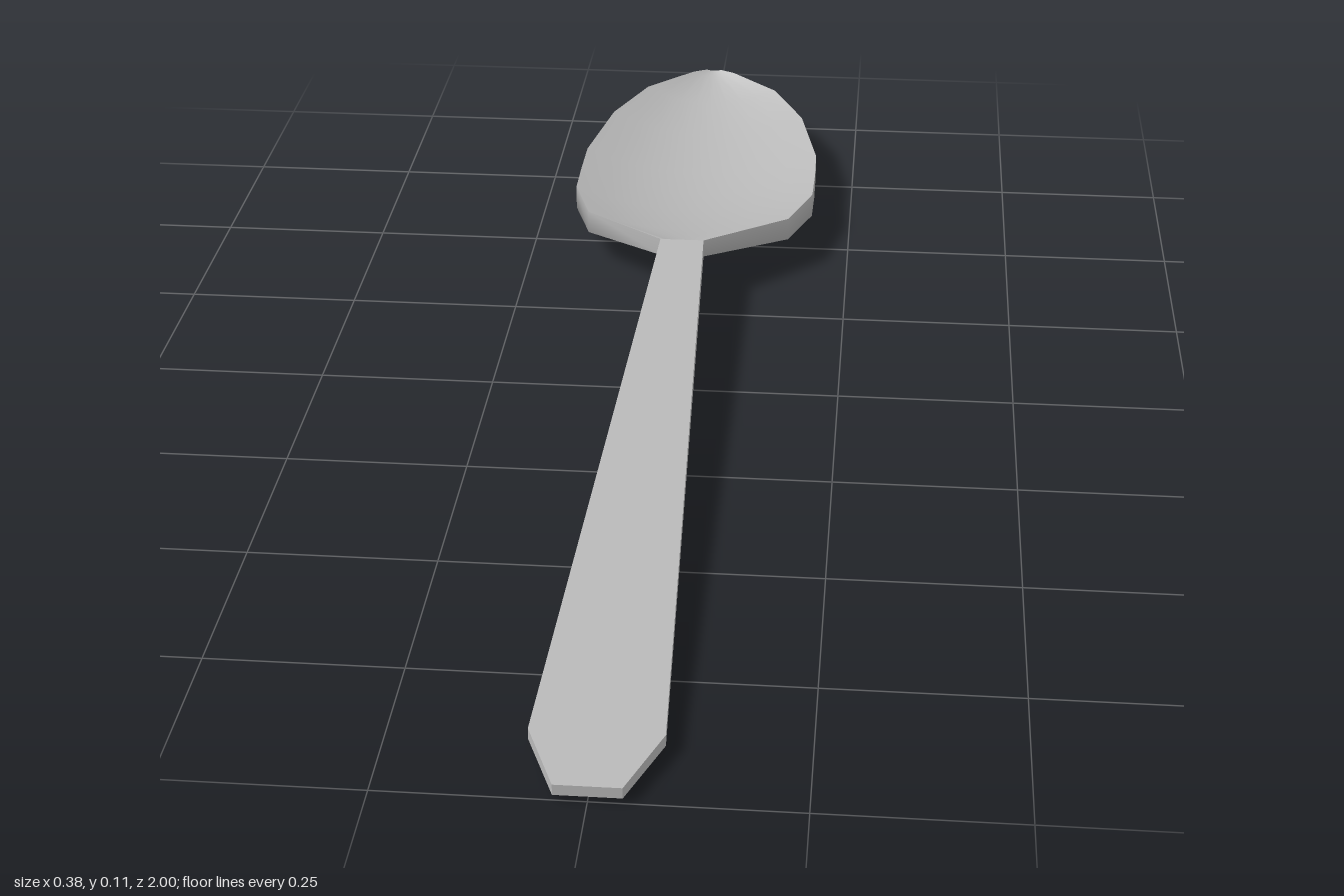
import * as THREE from 'three';

const steel = new THREE.MeshStandardMaterial({ color: 0xb8b8b8 });
steel.name = 'brushed steel';

// Surface through rows of [x, y, z] points; smooth within itself, creased at its border
function sheet(name, rows, flip = false, flat = false) {
  const cols = rows[0].length, index = [];
  for (let i = 0; i < rows.length - 1; i++) {
    for (let j = 0; j < cols - 1; j++) {
      const a = i * cols + j, b = a + 1, c = a + cols, d = c + 1;
      if (flip) index.push(a, c, b, b, c, d);
      else index.push(a, b, c, b, d, c);
    }
  }
  let geo = new THREE.BufferGeometry();
  geo.setAttribute('position', new THREE.Float32BufferAttribute(rows.flat(2), 3));
  geo.setIndex(index);
  if (flat) geo = geo.toNonIndexed();
  geo.computeVertexNormals();
  const mesh = new THREE.Mesh(geo, steel);
  mesh.name = name;
  return mesh;
}

// Bowl stations: z, half width, rim top, rim bottom, centre top, centre bottom
const bowlStations = [
  [-0.31, 0.033, 0.098, 0.071, 0.098, 0.070],
  [-0.43, 0.157, 0.085, 0.050, 0.058, 0.028],
  [-0.55, 0.190, 0.075, 0.038, 0.038, 0.010],
  [-0.63, 0.191, 0.073, 0.036, 0.033, 0.003],
  [-0.71, 0.190, 0.074, 0.037, 0.033, 0.007],
  [-0.85, 0.160, 0.084, 0.050, 0.046, 0.020],
  [-0.94, 0.110, 0.096, 0.065, 0.068, 0.045],
  [-0.99, 0.035, 0.107, 0.084, 0.098, 0.076],
  [-1.00, 0.012, 0.108, 0.086, 0.106, 0.084],
];

// Handle stations: z, half width, top, bottom
const handleStations = [
  [1.00, 0.040, 0.024, 0.010],
  [0.90, 0.080, 0.029, 0.014],
  [-0.31, 0.033, 0.098, 0.070],
];

const ACROSS = [-1, -0.75, -0.5, -0.25, 0, 0.25, 0.5, 0.75, 1];

// One parabolic slice across the bowl
const arc = (z, w, edge, centre) =>
  ACROSS.map((t) => [t * w, edge + (centre - edge) * (1 - t * t), z]);

function makeBowl() {
  const bowl = new THREE.Group();
  bowl.name = 'bowl';
  const inner = bowlStations.map(([z, w, rt, , ct]) => arc(z, w, rt, ct));
  const under = bowlStations.map(([z, w, , rb, , cb]) => arc(z, w, rb, cb));
  // The underside runs up the walls to the rim
  const shell = under.map((row, i) => [inner[i][0], ...row, inner[i].at(-1)]);
  bowl.add(
    sheet('bowlInside', inner),
    sheet('bowlUnderside', shell, true),
    sheet('bowlTip', [under.at(-1), inner.at(-1)], true),
  );
  return bowl;
}

function makeHandle() {
  const handle = new THREE.Group();
  handle.name = 'handle';
  const top = handleStations.map(([z, w, t]) => [[-w, t, z], [w, t, z]]);
  const bottom = handleStations.map(([z, w, , b]) => [[-w, b, z], [w, b, z]]);
  const side = (k) => top.map((row, i) => [bottom[i][k], row[k]]);
  handle.add(
    sheet('handleTop', top, false, true),
    sheet('handleUnderside', bottom, true, true),
    sheet('handleRightEdge', side(0), false, true),
    sheet('handleLeftEdge', side(1), true, true),
    sheet('handleEnd', [bottom[0], top[0]], false, true),
  );
  return handle;
}

export function createModel() {
  const spoon = new THREE.Group();
  spoon.name = 'spoon';
  spoon.add(makeBowl(), makeHandle());
  spoon.position.y = -0.003;
  return spoon;
}
